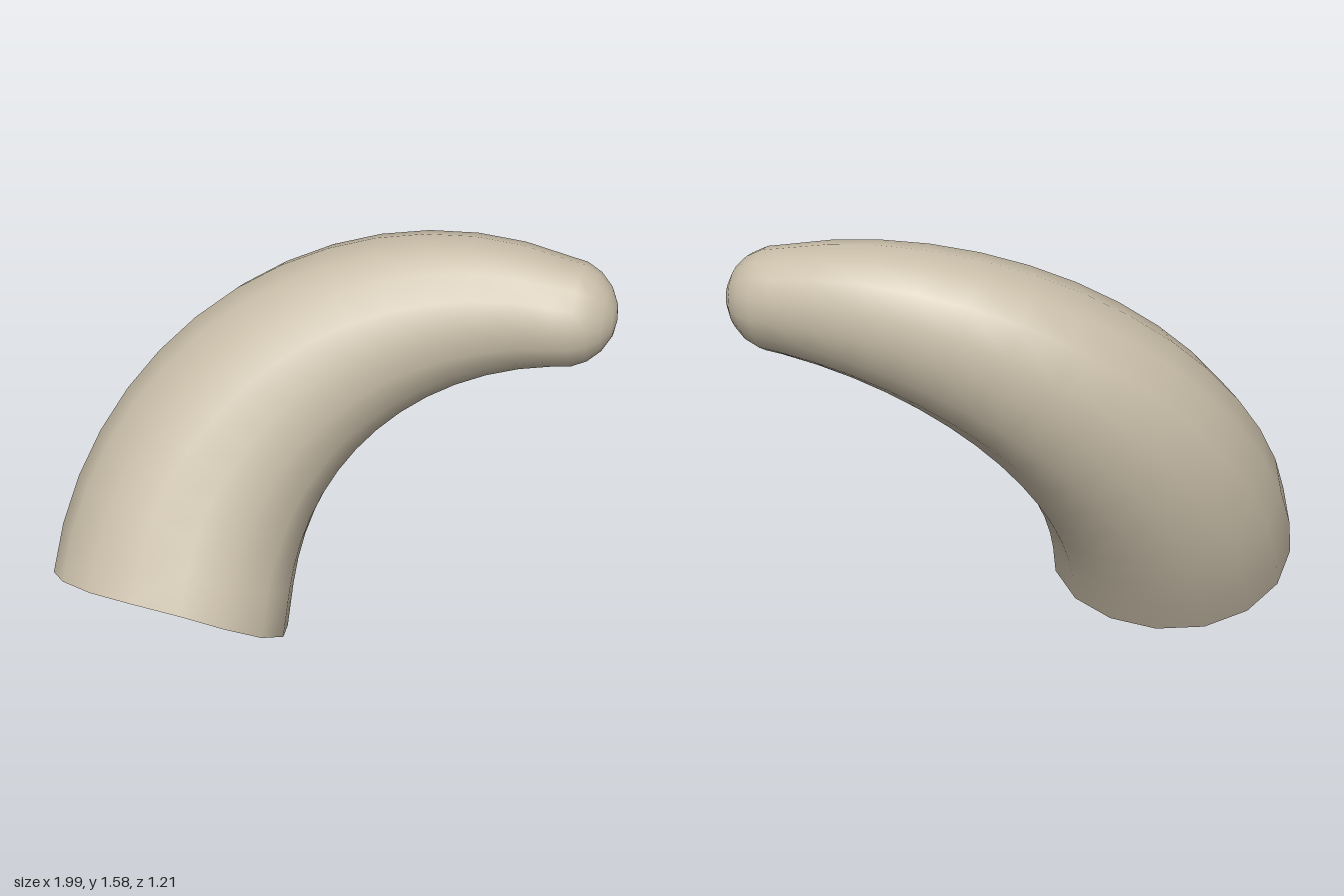
import * as THREE from 'three';

const SIDES = 16, RINGS = 14, CAP = 5;

// The horn bends through a quarter turn in a plane tilted backwards.
const BEND_CENTRE = new THREE.Vector3(0.8, 0.205, 0.245);
const ACROSS = new THREE.Vector3(1, 0, 0);
const UP = new THREE.Vector3(0, 0.88, -0.475).normalize();
const SIDE = new THREE.Vector3().crossVectors(ACROSS, UP).normalize();

// Frame of the centre line at t (0 = open base, 1 = start of rounded tip)
function frameAt(t) {
  const a = t * Math.PI / 2;
  const bend = 1.315 + 0.03 * Math.sin(2 * a) - 0.01 * t;
  const outward = ACROSS.clone().multiplyScalar(-Math.cos(a)).addScaledVector(UP, Math.sin(a));
  const tangent = ACROSS.clone().multiplyScalar(Math.sin(a)).addScaledVector(UP, Math.cos(a));
  const centre = BEND_CENTRE.clone().addScaledVector(outward, bend);
  const taper = Math.pow(t, 1.6);
  return {
    outward, tangent, centre,
    rIn: THREE.MathUtils.lerp(0.475, 0.2, taper),
    rSide: THREE.MathUtils.lerp(0.41, 0.185, taper),
  };
}

function hornGeometry() {
  const pos = [], index = [];
  const addRing = (f, scale, forward, dip) => {
    for (let j = 0; j < SIDES; j++) {
      const phi = j / SIDES * Math.PI * 2;
      const c = Math.cos(phi), s = Math.sin(phi);
      const p = f.centre.clone()
        .addScaledVector(f.outward, -c * f.rIn * scale)
        .addScaledVector(SIDE, s * f.rSide * scale)
        .addScaledVector(f.tangent, forward - dip * Math.max(0, c) ** 2);
      pos.push(p.x, p.y, p.z);
    }
  };
  // Tapering body; the rim dips on the inner side of the bend
  for (let i = 0; i <= RINGS; i++) {
    addRing(frameAt(i / RINGS), 1, 0, i === 0 ? 0.085 : 0);
  }
  // Rounded tip
  const end = frameAt(1), tipLength = 0.2;
  for (let i = 1; i < CAP; i++) {
    const a = i / CAP * Math.PI / 2;
    addRing(end, Math.cos(a), Math.sin(a) * tipLength, 0);
  }
  const pole = end.centre.clone().addScaledVector(end.tangent, tipLength);
  pos.push(pole.x, pole.y, pole.z);

  const rings = RINGS + CAP, last = rings * SIDES;
  for (let i = 0; i < rings; i++) {
    for (let j = 0; j < SIDES; j++) {
      const k = (j + 1) % SIDES;
      const a = i * SIDES + j, b = i * SIDES + k;
      if (i === rings - 1) index.push(a, last, b);
      else index.push(a, a + SIDES, b, b, a + SIDES, b + SIDES);
    }
  }
  // Turn the faces outward if the first one looks towards the centre line
  const v = n => new THREE.Vector3().fromArray(pos, index[n] * 3);
  const normal = v(1).sub(v(0)).cross(v(2).sub(v(0)));
  if (normal.dot(v(0).sub(frameAt(0).centre)) < 0) index.reverse();

  const g = new THREE.BufferGeometry();
  g.setAttribute('position', new THREE.Float32BufferAttribute(pos, 3));
  g.setIndex(index);
  g.computeVertexNormals();
  return g;
}

export function createModel() {
  const group = new THREE.Group();
  group.name = 'curvedHorn';
  const horn = new THREE.Mesh(hornGeometry(), new THREE.MeshStandardMaterial({
    color: 0xc8bda8, side: THREE.DoubleSide,
  }));
  horn.name = 'horn';
  group.add(horn);
  return group;
}
